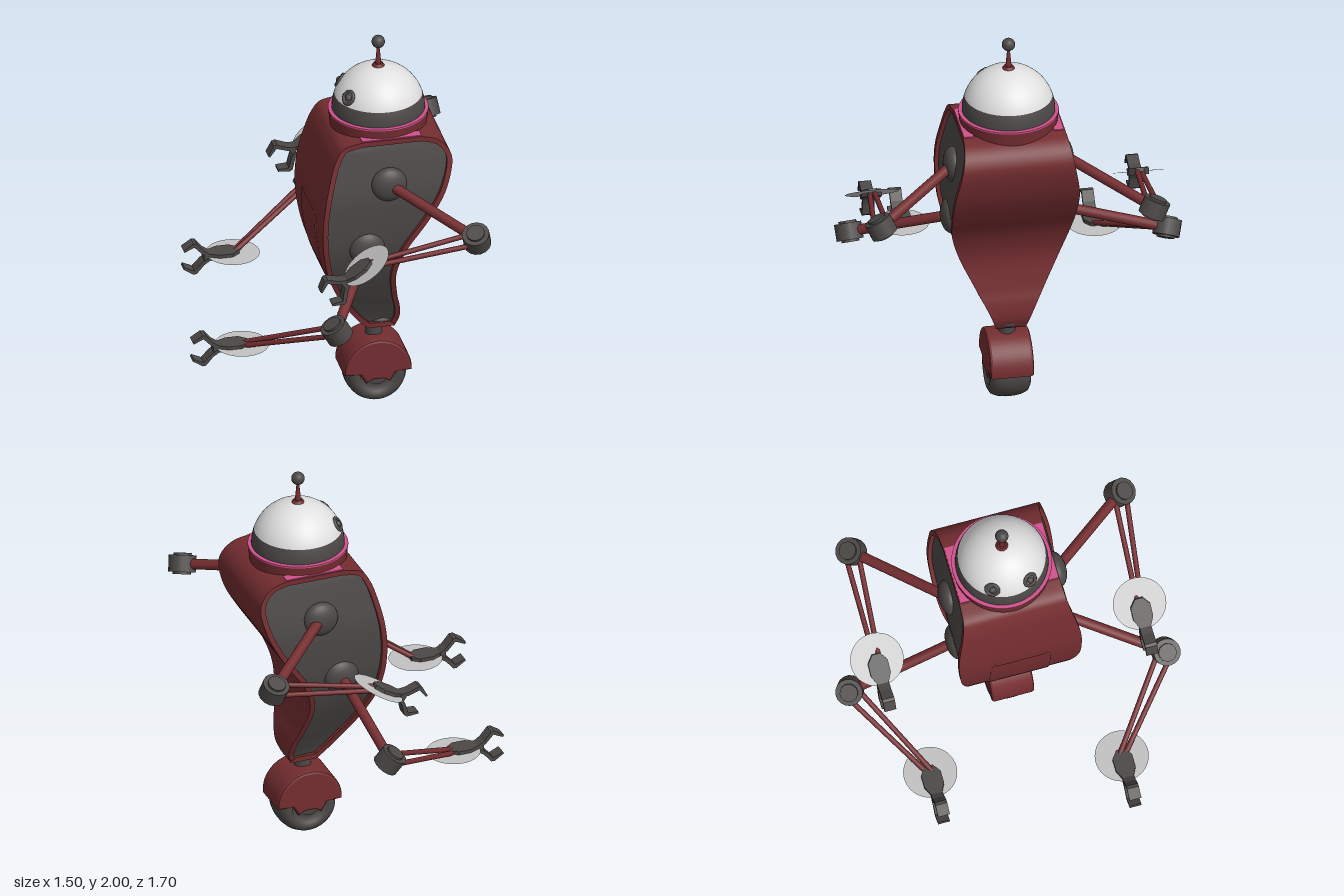
import * as THREE from 'three';

const V = (x, y, z) => new THREE.Vector3(x, y, z);
const mat = (name, color) => {
  const m = new THREE.MeshStandardMaterial({ color, side: THREE.DoubleSide });
  m.name = name;
  return m;
};

export function createModel() {
  const red = mat('dark red', 0x742d30), grey = mat('dark grey', 0x4b4846);
  const white = mat('dome white', 0xe0e0e0), pale = mat('pale grey', 0xc2c2c2), pink = mat('pink trim', 0xd0508c);
  const model = new THREE.Group();
  const CZ = 0.035; // middle plane of the body

  const add = (parent, name, geo, material, x = 0, y = 0, z = 0) => {
    const m = new THREE.Mesh(geo, material);
    m.name = name;
    m.position.set(x, y, z);
    parent.add(m);
    return m;
  };
  const group = (name, x, y, z) => {
    const g = new THREE.Group();
    g.name = name;
    g.position.set(x, y, z);
    model.add(g);
    return g;
  };
  const cyl = (r1, r2, h, n = 32) => new THREE.CylinderGeometry(r1, r2, h, n);
  // cylinder between two points
  const rod = (parent, name, a, b, r, material) => {
    const m = add(parent, name, cyl(r, r, a.distanceTo(b), 16), material);
    m.position.copy(a).add(b).multiplyScalar(0.5);
    m.quaternion.setFromUnitVectors(V(0, 1, 0), b.clone().sub(a).normalize());
    return m;
  };
  // surface through rows of points
  const loft = (rows, closed) => {
    const n = rows[0].length, pos = [], idx = [];
    rows.forEach(r => r.forEach(p => pos.push(p.x, p.y, p.z)));
    for (let i = 0; i < rows.length - 1; i++)
      for (let j = 0; j < (closed ? n : n - 1); j++) {
        const a = i * n + j, b = i * n + (j + 1) % n, c = a + n, d = b + n;
        idx.push(a, c, d, a, d, b);
      }
    const g = new THREE.BufferGeometry();
    g.setAttribute('position', new THREE.Float32BufferAttribute(pos, 3));
    g.setIndex(idx);
    g.computeVertexNormals();
    return g;
  };

  // Body: bean-shaped outline [y, left x, right x, half width]
  const rows = [
    [0.41, 0.21, 0.345, 0.075], [0.47, 0.155, 0.365, 0.095], [0.55, 0.1, 0.358, 0.13], [0.64, 0.045, 0.335, 0.175],
    [0.8, -0.025, 0.315, 0.25], [0.95, -0.06, 0.36, 0.295], [1.1, -0.07, 0.46, 0.31], [1.25, -0.055, 0.545, 0.31],
    [1.4, -0.02, 0.588, 0.285], [1.48, 0.01, 0.57, 0.27], [1.53, 0.05, 0.515, 0.26], [1.55, 0.14, 0.44, 0.255]];
  const N = 55;
  const side = k => new THREE.CatmullRomCurve3(rows.map(r => V(r[k], r[0], r[3])), false, 'catmullrom', 0.5).getPoints(N);
  const leftEdge = side(1), rightEdge = side(2);
  const outer = [...leftEdge, ...rightEdge.slice().reverse()];
  const inner = outer.map((p, i) => {
    const a = outer[(i + outer.length - 1) % outer.length], b = outer[(i + 1) % outer.length];
    const dx = b.x - a.x, dy = b.y - a.y, l = Math.hypot(dx, dy);
    return V(p.x + dy / l * 0.026, p.y - dx / l * 0.026, p.z);
  });
  const body = group('body', 0, 0, CZ);
  const at = (loop, s, d = 0) => loop.map(p => V(p.x, p.y, s * (p.z - d)));
  add(body, 'bodyShell', loft([at(outer, -1), at(outer, 1)], true), red);
  for (const s of [1, -1]) {
    add(body, 'bodyRim', loft([at(outer, s), at(inner, s)], true), red);
    add(body, 'rimInnerWall', loft([at(inner, s), at(inner, s, 0.02)], true), red);
    const panel = [];
    const rim = at(inner, s, 0.02);
    for (let i = 0; i <= N; i++) {
      const a = rim[i], b = rim[rim.length - 1 - i];
      panel.push([0, 0.25, 0.5, 0.75, 1].map(t => a.clone().lerp(b, t)));
    }
    add(body, 'sidePanel', loft(panel), grey);
    add(body, 'topTrim', new THREE.BoxGeometry(0.3, 0.008, 0.05), pink, 0.29, 1.551, s * 0.225);
  }
  // belly hatch following the shell
  const hatch = leftEdge.filter(p => p.y > 0.76 && p.y < 1.16);
  add(body, 'bellyHatch', loft(hatch.map((p, i) => {
    const w = i === 0 || i === hatch.length - 1 ? 0.13 : 0.155;
    return [V(p.x + 0.002, p.y, -w), V(p.x - 0.006, p.y, -w + 0.006), V(p.x - 0.006, p.y, w - 0.006), V(p.x + 0.002, p.y, w)];
  })), red);

  // Head
  const head = group('head', 0.28, 1.607, CZ);
  add(head, 'collar', cyl(0.247, 0.235, 0.12, 48), red, 0, -0.067, 0);
  add(head, 'collarTrim', cyl(0.248, 0.248, 0.008, 48), pink, 0, -0.006, 0);
  const bandEnd = 1.23;
  add(head, 'dome', new THREE.SphereGeometry(0.23, 48, 20, 0, Math.PI * 2, 0, bandEnd), white);
  add(head, 'domeBand', new THREE.SphereGeometry(0.23, 48, 6, 0, Math.PI * 2, bandEnd, Math.PI / 2 - bandEnd), grey);
  for (const s of [1, -1]) {
    const dir = V(-0.17, 0.115, s * 0.095).normalize();
    const eye = new THREE.Group();
    eye.name = 'eye';
    eye.position.copy(dir).multiplyScalar(0.229);
    eye.quaternion.setFromUnitVectors(V(0, 0, 1), dir);
    head.add(eye);
    add(eye, 'eyeRing', new THREE.TorusGeometry(0.031, 0.009, 10, 28), grey);
    add(eye, 'pupil', new THREE.SphereGeometry(0.018, 16, 12), grey);
  }
  add(head, 'antennaBase', cyl(0.022, 0.032, 0.016, 20), red, 0, 0.234, 0);
  add(head, 'antennaRod', cyl(0.005, 0.016, 0.12, 16), red, 0, 0.29, 0);
  add(head, 'antennaBall', new THREE.SphereGeometry(0.033, 24, 16), grey, 0, 0.36, 0);

  // Wheel, fender and neck
  const base = group('wheelBase', 0.255, 0, 0.04);
  add(base, 'neck', cyl(0.042, 0.042, 0.16), grey, 0, 0.37, 0);
  add(base, 'neckJoint', new THREE.SphereGeometry(0.075, 24, 16), grey, 0.03, 0.435, 0).scale.set(1, 0.5, 0.9);
  const prof = [[0, 0.095], [0.05, 0.095], [0.055, 0.085], [0.085, 0.085], [0.09, 0.1], [0.115, 0.103], [0.138, 0.09], [0.151, 0.06], [0.157, 0.02]];
  const full = [...prof, ...prof.slice().reverse().map(([r, h]) => [r, -h])];
  add(base, 'wheel', new THREE.LatheGeometry(full.map(p => new THREE.Vector2(...p)), 48), grey, 0, 0.157, 0).rotation.x = Math.PI / 2;
  const fender = new THREE.Shape();
  fender.absarc(0, 0, 0.157, 0, Math.PI, false);
  [[-0.08, -0.005], [-0.055, -0.05], [-0.03, -0.035], [0.03, -0.035], [0.055, -0.05], [0.08, -0.005]].forEach(p => fender.lineTo(...p));
  add(base, 'fender', new THREE.ExtrudeGeometry(fender, {
    depth: 0.19, bevelThickness: 0.015, bevelSize: 0.013, bevelSegments: 2, curveSegments: 32
  }), red, 0, 0.185, -0.095);

  // Hand parts: palm lies in the local XZ plane, pointing along +X
  const shape = pts => new THREE.Shape(pts.map(p => new THREE.Vector2(...p)));
  const palmGeo = new THREE.ExtrudeGeometry(shape([[-0.03, -0.02], [0.01, -0.05], [0.075, -0.05], [0.12, -0.028],
    [0.15, -0.028], [0.15, 0.028], [0.12, 0.028], [0.075, 0.05], [0.01, 0.05], [-0.03, 0.02]]), { depth: 0.036, bevelEnabled: false });
  palmGeo.translate(0, 0, -0.018).rotateX(Math.PI / 2);
  const jawGeo = new THREE.ExtrudeGeometry(shape([[0.12, 0], [0.16, 0.022], [0.2, 0.065], [0.25, 0.042], [0.255, 0.052],
    [0.205, 0.085], [0.188, 0.083], [0.15, 0.038], [0.12, 0.018]]), { depth: 0.06, bevelEnabled: false });
  jawGeo.translate(0, 0, -0.03);
  const discGeo = new THREE.CircleGeometry(0.133, 48).rotateX(-Math.PI / 2);

  // Arms: shoulder, elbow, wrist, downward tilt of the hand
  const arms = [
    ['upperFrontArm', V(0.27, 1.315, 0.31), V(0.615, 1.19, 0.73), V(0.07, 1.08, 0.68), 0.62],
    ['upperBackArm', V(0.27, 1.315, -0.24), V(0.67, 1.2, -0.625), V(0.125, 1.105, -0.645), 0.5],
    ['lowerFrontArm', V(0.16, 0.97, 0.305), V(-0.1, 0.78, 0.765), V(-0.5, 0.58, 0.43), 0],
    ['lowerBackArm', V(0.16, 0.97, -0.235), V(0.12, 0.775, -0.785), V(-0.33, 0.58, -0.5), 0]];
  for (const [name, shoulder, elbow, wrist, tilt] of arms) {
    const arm = group(name, 0, 0, 0);
    add(arm, 'shoulder', new THREE.SphereGeometry(0.09, 28, 18), grey, shoulder.x, shoulder.y, shoulder.z).scale.z = 0.55;
    rod(arm, 'upperArm', shoulder, elbow, 0.026, red);
    const fore = wrist.clone().sub(elbow).normalize();
    const axis = shoulder.clone().sub(elbow).cross(fore).normalize();
    const across = axis.clone().cross(fore).normalize();
    const off = (p, v, d) => p.clone().addScaledVector(v, d);
    rod(arm, 'elbow', off(elbow, axis, -0.042), off(elbow, axis, 0.042), 0.068, grey);
    rod(arm, 'elbowCap', off(elbow, axis, -0.053), off(elbow, axis, 0.053), 0.045, grey);
    for (const s of [1, -1])
      rod(arm, 'forearmRod', off(elbow, across, s * 0.034), off(wrist, across, s * 0.012), 0.013, red);
    const hand = new THREE.Group();
    hand.name = 'hand';
    hand.position.copy(wrist);
    hand.rotation.z = Math.PI + tilt;
    arm.add(hand);
    add(hand, 'wristDisc', discGeo, pale);
    add(hand, 'palm', palmGeo, grey);
    for (const s of [1, -1]) add(hand, 'jaw', jawGeo, grey).scale.y = s;
  }
  return model;
}
